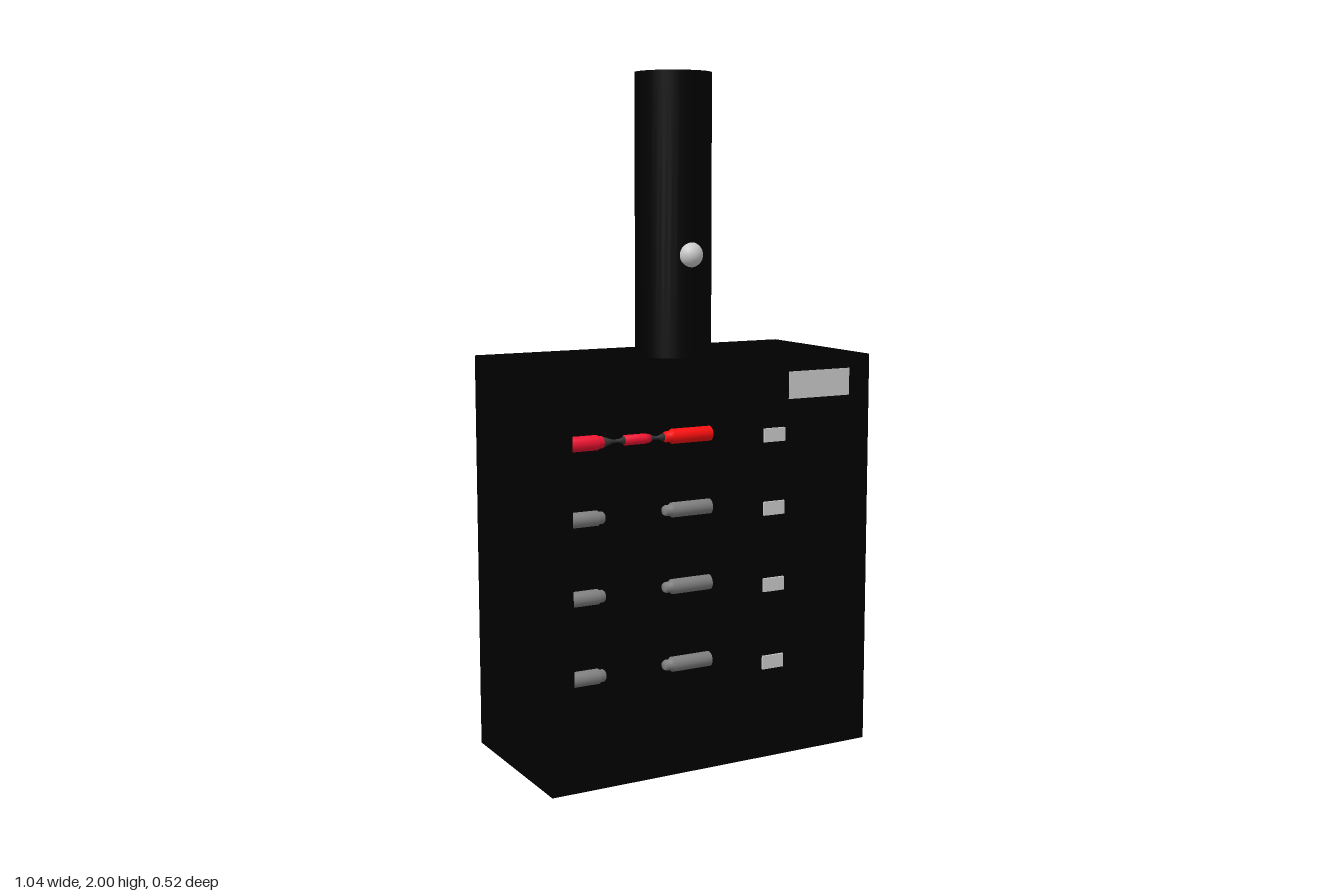
import * as THREE from 'three';

const FRONT = 0.256, BACK = -0.262, RECESS = 0, PLUG_Z = 0.145;
const mat = (color) => new THREE.MeshStandardMaterial({ color });

export function createModel() {
  const model = new THREE.Group();
  const black = mat(0x000000), dark = mat(0x333333), grey = mat(0x808080), light = mat(0xcccccc);
  const crimson = mat(0xf01432), red = mat(0xff1010);

  const add = (name, geometry, material, x = 0, y = 0, z = 0, parent = model) => {
    const mesh = new THREE.Mesh(geometry, material);
    mesh.name = name;
    mesh.position.set(x, y, z);
    parent.add(mesh);
    return mesh;
  };

  // Turned part lying along x; profile is [radius, x] from low x to high x
  const turned = (name, profile, material, y, parent) => {
    const points = profile.map(([r, x]) => new THREE.Vector2(r, x));
    const geometry = new THREE.LatheGeometry(points, 20).rotateZ(-Math.PI / 2);
    return add(name, geometry, material, 0, y, PLUG_Z, parent);
  };

  // Case: a front shell with a window, closed by a solid back
  const face = new THREE.Shape();
  face.moveTo(-0.522, 0).lineTo(0.522, 0).lineTo(0.522, 1.183).lineTo(-0.522, 1.183).closePath();
  const opening = new THREE.Path();
  opening.moveTo(-0.452, 0.23).lineTo(-0.452, 1.07).lineTo(0.04, 1.07).lineTo(0.04, 0.23).closePath();
  face.holes.push(opening);
  add('caseFront', new THREE.ExtrudeGeometry(face, { depth: FRONT - RECESS, bevelEnabled: false }),
    black, 0, 0, RECESS);
  add('caseBack', new THREE.BoxGeometry(1.044, 1.183, RECESS - BACK), black,
    0, 0.5915, (RECESS + BACK) / 2);

  // Handle with a round push button
  add('handle', new THREE.CylinderGeometry(0.112, 0.112, 0.82, 40), black, 0, 1.59, -0.002);
  add('handleButton', new THREE.SphereGeometry(0.037, 28, 18), light, 0, 1.48, 0.1);

  // Display plate
  add('displayPlate', new THREE.BoxGeometry(0.21, 0.08, 0.004), light, 0.345, 1.105, FRONT);

  // Four rows, each with a facing pair of sockets and an indicator
  [0.965, 0.75, 0.523, 0.29].forEach((y, i) => {
    const row = new THREE.Group();
    row.name = 'row' + (i + 1);
    model.add(row);
    const wired = i === 0;
    turned('rightSocket', [[0, -0.452], [0.022, -0.452], [0.022, -0.325], [0.018, -0.323],
      [0.018, -0.31], [0.014, -0.305], [0, -0.305]], wired ? crimson : grey, y, row);
    turned('leftSocket', [[0, -0.113], [0.012, -0.113], [0.016, -0.106], [0.016, -0.093],
      [0.022, -0.086], [0.022, 0.04], [0, 0.04]], wired ? red : grey, y, row);
    add('indicator', new THREE.BoxGeometry(0.07, 0.04, 0.014), light, 0.19, y, FRONT, row);

    // Fuse held between the top pair
    if (wired) {
      turned('fuseWire', [[0, -0.307], [0.016, -0.307], [0.005, -0.275], [0.005, -0.255],
        [0.011, -0.24], [0.011, -0.155], [0.005, -0.145], [0.005, -0.13],
        [0.013, -0.11], [0, -0.11]], dark, y, row);
      turned('fuseBody', [[0, -0.242], [0.015, -0.238], [0.015, -0.175], [0.012, -0.158],
        [0, -0.155]], crimson, y, row);
    }
  });

  return model;
}
